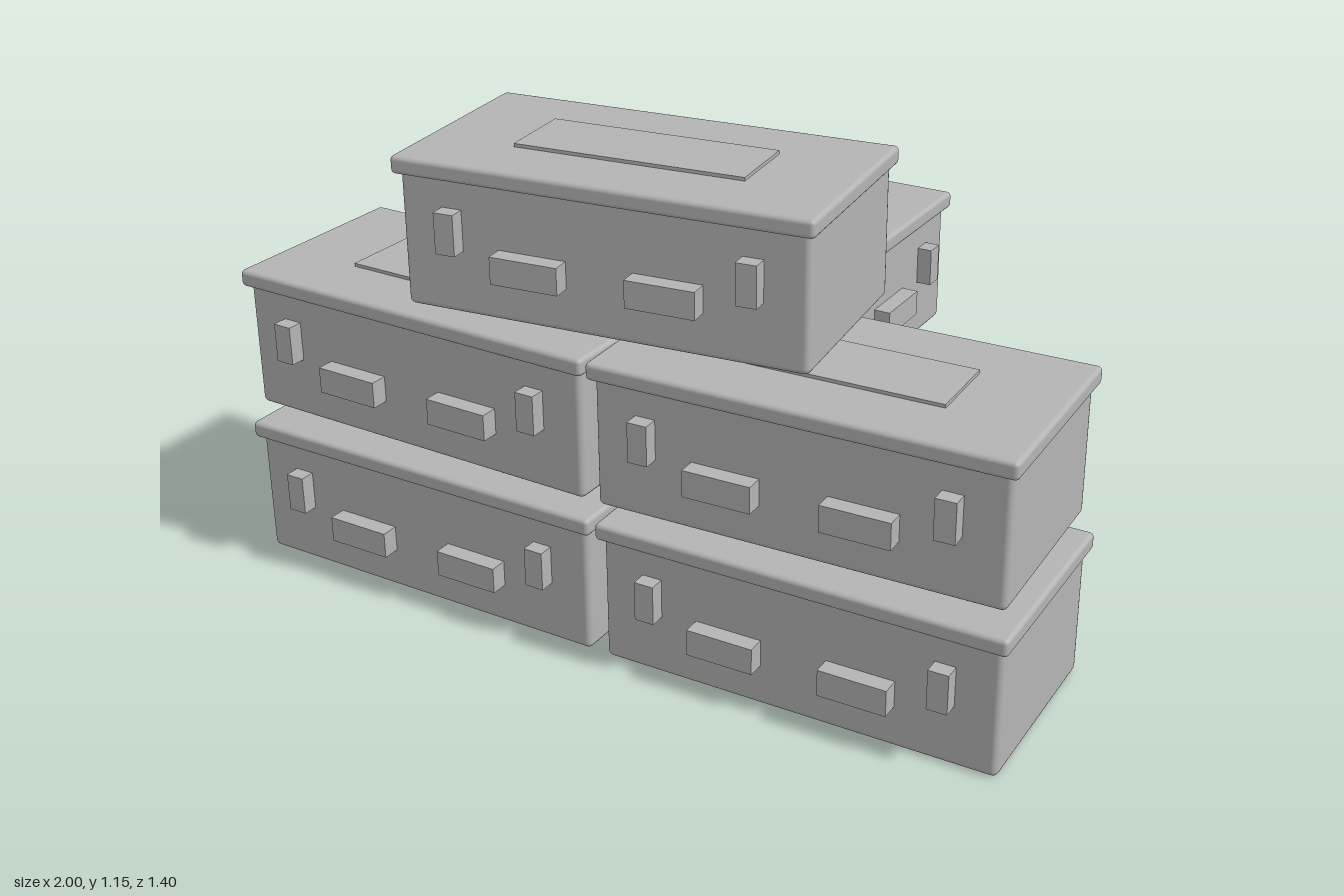
import * as THREE from 'three';
import { RoundedBoxGeometry } from 'three/addons/geometries/RoundedBoxGeometry.js';

const grey = new THREE.MeshStandardMaterial({ color: 0xb4b4b4 });
grey.name = 'plain grey';

// Box mesh given by its size and centre; a radius rounds its edges
function block(name, size, pos, radius = 0) {
  const geometry = radius
    ? new RoundedBoxGeometry(...size, 2, radius)
    : new THREE.BoxGeometry(...size);
  const mesh = new THREE.Mesh(geometry, grey);
  mesh.name = name;
  mesh.position.set(...pos);
  return mesh;
}

// One lidded storage crate, 0.99 x 0.36 x 0.51, standing on y = 0
function createCrate(name) {
  const crate = new THREE.Group();
  crate.name = name;
  crate.add(
    block('body', [0.962, 0.325, 0.475], [0, 0.1625, 0], 0.014),
    block('lid', [0.99, 0.042, 0.51], [0, 0.331, 0], 0.011),
    block('lidPanel', [0.55, 0.01, 0.19], [0, 0.355, 0])
  );
  for (const side of [-1, 1]) {
    crate.add(
      // front handles and latches
      block('handle', [0.163, 0.064, 0.06], [side * 0.161, 0.134, 0.25]),
      block('latch', [0.048, 0.096, 0.055], [side * 0.355, 0.197, 0.2475]),
      // stepped hinges at the back
      block('hinge', [0.048, 0.098, 0.055], [side * 0.355, 0.197, -0.2475]),
      block('hingePlate', [0.048, 0.065, 0.04], [side * 0.355, 0.278, -0.24])
    );
  }
  return crate;
}

export function createModel() {
  const model = new THREE.Group();
  model.name = 'crateStack';
  // name, x, y, z, turn about the vertical
  const stack = [
    ['bottomRightCrate', -0.503, 0, 0.395, -0.01],
    ['bottomLeftCrate', 0.499, 0, 0.395, 0.01],
    ['bottomBackCrate', -0.003, 0, -0.208, 0.05],
    ['middleRightCrate', -0.497, 0.4, 0.395, -0.03],
    ['middleLeftCrate', 0.49, 0.4, 0.397, 0.03],
    ['middleBackCrate', 0, 0.4, -0.205, Math.PI / 2],
    ['topCrate', -0.005, 0.795, 0.387, 0.105],
  ];
  for (const [name, x, y, z, turn] of stack) {
    const crate = createCrate(name);
    crate.position.set(x, y, z);
    crate.rotation.y = turn;
    model.add(crate);
  }
  return model;
}
